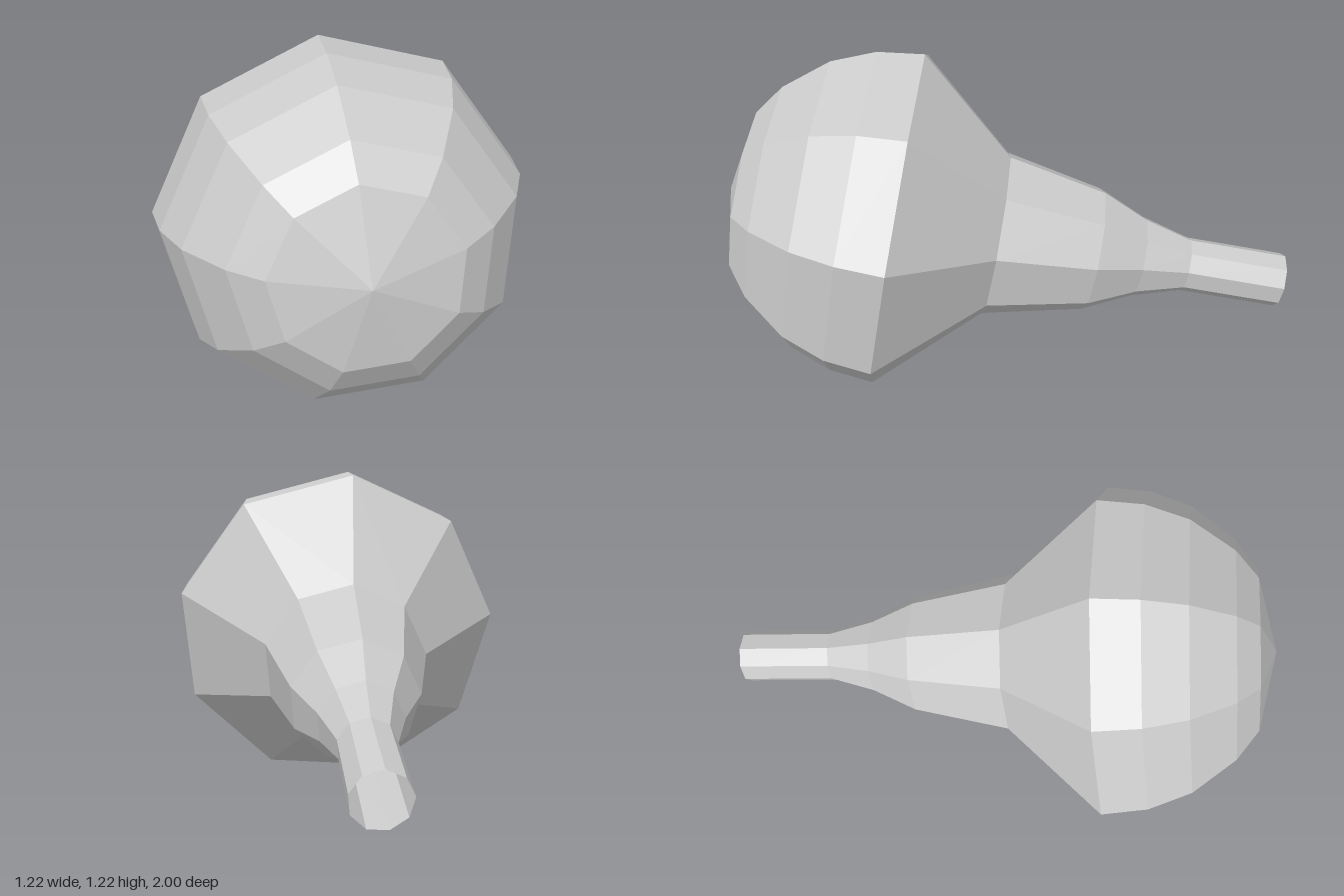
import * as THREE from 'three';

const SIDES = 9;
const R = 0.63; // bulb radius

// Turns a [radius, height] profile, listed from bottom to top, into a faceted surface
function turned(name, profile) {
  const points = profile.map(([r, h]) => new THREE.Vector2(r, h));
  const material = new THREE.MeshStandardMaterial({
    color: 0xcccccc, flatShading: true, side: THREE.DoubleSide,
  });
  const mesh = new THREE.Mesh(new THREE.LatheGeometry(points, SIDES), material);
  mesh.name = name;
  return mesh;
}

export function createModel() {
  const group = new THREE.Group();
  group.name = 'bulb';

  // Rounded front: rings on a sphere, closed by a blunt fan
  const rings = [90, 75, 60, 42, 29.5].map((deg) => {
    const a = THREE.MathUtils.degToRad(deg);
    return [R * Math.sin(a), R * Math.cos(a)];
  });
  group.add(turned('dome', [...rings, [0, 0.615]]));

  // Shoulder tapering into a narrow tube with an open end
  group.add(turned('neck', [
    [0.1, -1.42], [0.1, -1.064], [0.15, -0.888],
    [0.23, -0.715], [0.306, -0.355], [R, 0],
  ]));

  // Lean the axis forward, with one corner of the rings pointing up
  const axis = new THREE.Vector3(-0.225, 0.175, 0.958).normalize();
  const corner = new THREE.Vector3(-0.048, 0.98, -0.186);
  const across = new THREE.Vector3().crossVectors(axis, corner).normalize();
  corner.crossVectors(across, axis);
  group.quaternion.setFromRotationMatrix(new THREE.Matrix4().makeBasis(across, axis, corner));
  group.position.set(0, 0.604, 0.387);

  const model = new THREE.Group();
  model.name = 'model';
  model.add(group);
  return model;
}
